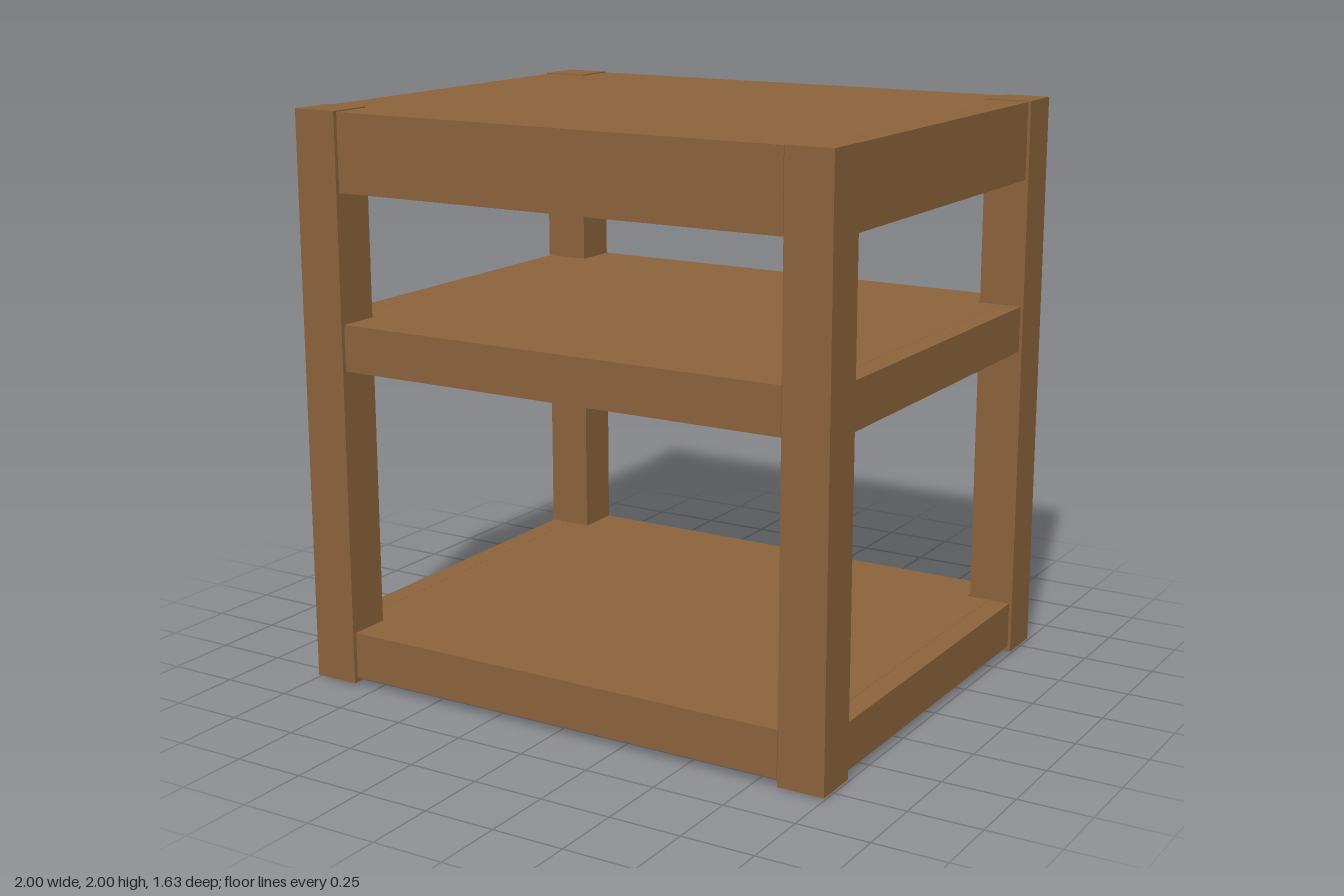
import * as THREE from 'three';

export function createModel() {
  const wood = new THREE.MeshStandardMaterial({ color: 0x8b623b });
  wood.name = 'wood';
  const darkMetal = new THREE.MeshStandardMaterial({ color: 0x45484c });
  darkMetal.name = 'dark grey';

  const model = new THREE.Group();
  model.name = 'shelfTable';

  // Box given by its minimum and maximum corners
  function box(name, material, [x0, y0, z0], [x1, y1, z1]) {
    const mesh = new THREE.Mesh(new THREE.BoxGeometry(x1 - x0, y1 - y0, z1 - z0), material);
    mesh.position.set((x0 + x1) / 2, (y0 + y1) / 2, (z0 + z1) / 2);
    mesh.name = name;
    model.add(mesh);
  }

  const HX = 1, HZ = 0.815, LEG = 0.163;
  const inX = HX - LEG, inZ = HZ - LEG;
  const railX = 0.915, railZ = 0.732, inset = 0.008, gap = 0.006;

  // Rail bottom, rail top and panel underside of each level
  const levels = [
    { name: 'bottom', y0: 0.03, y1: 0.193, under: 0.115 },
    { name: 'middle', y0: 1.125, y1: 1.285, under: 1.207 },
    { name: 'top', y0: 1.73, y1: 1.997, under: 1.92 },
  ];

  // Legs with foot pads
  for (const sx of [-1, 1]) for (const sz of [-1, 1]) {
    const cx = sx * (HX - LEG / 2), cz = sz * (HZ - LEG / 2), h = LEG / 2, p = 0.053;
    box('leg', wood, [cx - h, 0.008, cz - h], [cx + h, 2, cz + h]);
    box('footPad', darkMetal, [cx - p, 0, cz - p], [cx + p, 0.0085, cz + p]);

    // Bolt through the inner corner of the leg, under each panel
    for (const level of levels) {
      const bolt = new THREE.Mesh(new THREE.CylinderGeometry(0.018, 0.018, 0.06, 12), darkMetal);
      bolt.name = 'cornerBolt';
      bolt.position.set(sx * (inX - 0.01), level.under - 0.035, sz * (inZ - 0.01));
      bolt.quaternion.setFromUnitVectors(
        new THREE.Vector3(0, 1, 0), new THREE.Vector3(-sx, 0, -sz).normalize());
      model.add(bolt);
    }
  }

  for (const { name, y0, y1, under } of levels) {
    // Rails between the legs
    for (const s of [-1, 1]) {
      const z = [s * railZ, s * (HZ - inset)].sort((a, b) => a - b);
      const x = [s * railX, s * (HX - inset)].sort((a, b) => a - b);
      box(name + 'LongRail', wood, [-inX + gap, y0, z[0]], [inX - gap, y1, z[1]]);
      box(name + 'SideRail', wood, [x[0], y0, -inZ + gap], [x[1], y1, inZ - gap]);
    }

    // Panel notched around the legs
    const px = railX - 0.001, pz = railZ - 0.001, nx = inX - gap, nz = inZ - gap;
    const outline = [
      [-nx, -pz], [nx, -pz], [nx, -nz], [px, -nz], [px, nz], [nx, nz],
      [nx, pz], [-nx, pz], [-nx, nz], [-px, nz], [-px, -nz], [-nx, -nz],
    ].map(([x, z]) => new THREE.Vector2(x, z));
    const geometry = new THREE.ExtrudeGeometry(new THREE.Shape(outline),
      { depth: y1 - under, bevelEnabled: false });
    geometry.rotateX(-Math.PI / 2);
    const panel = new THREE.Mesh(geometry, wood);
    panel.position.y = under;
    panel.name = name + 'Panel';
    model.add(panel);
  }

  return model;
}
